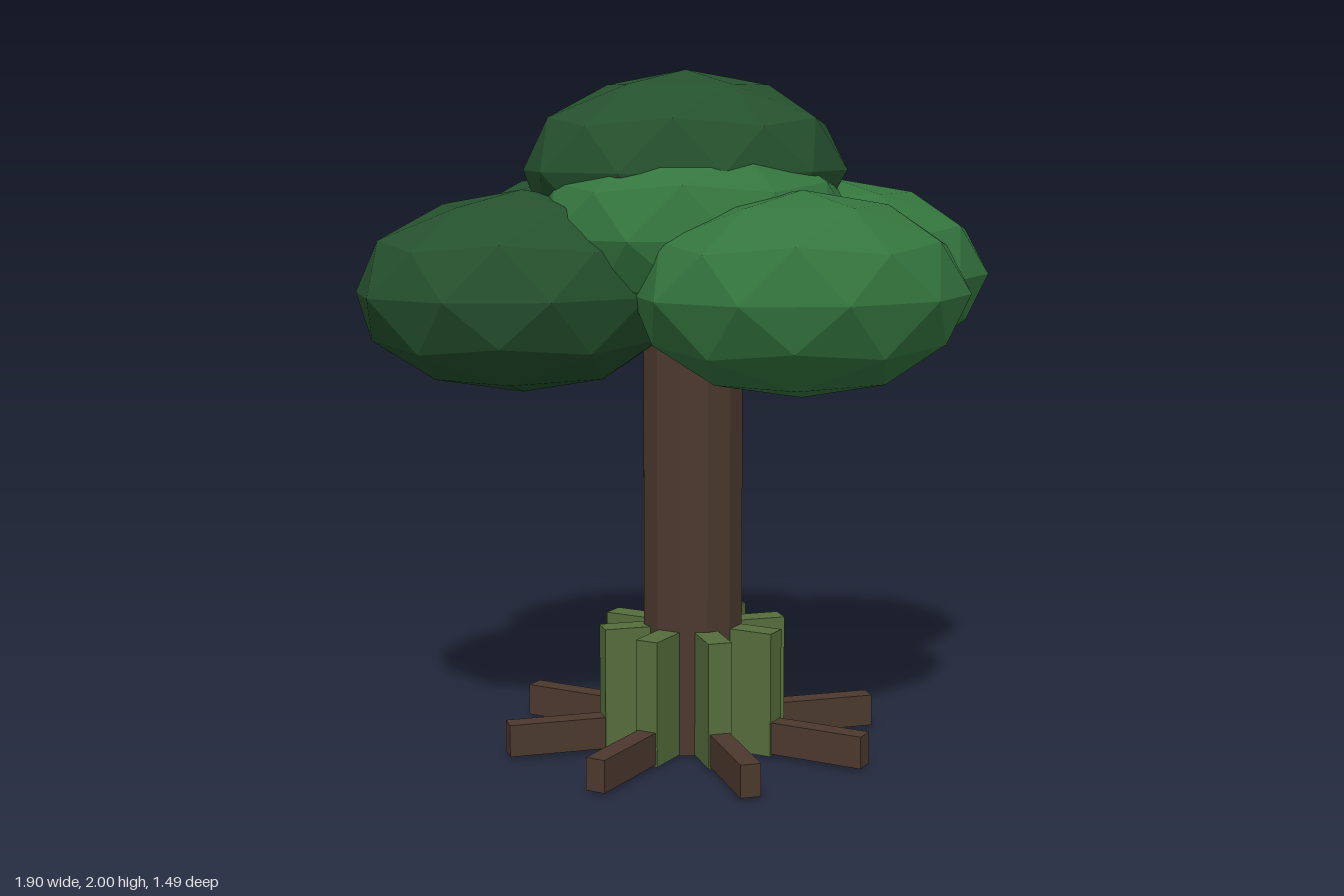
import * as THREE from 'three';

export function createModel() {
  const tree = new THREE.Group();
  tree.name = 'tree';

  const material = (color) => new THREE.MeshStandardMaterial({ color, flatShading: true });
  const bark = material(0x4c392e);
  const moss = material(0x566d3c);
  const lightLeaf = material(0x34753e);
  const darkLeaf = material(0x25512e);

  const add = (parent, name, geometry, mat) => {
    const mesh = new THREE.Mesh(geometry, mat);
    mesh.name = name;
    parent.add(mesh);
    return mesh;
  };

  // Trunk with its base, slightly off centre
  const base = new THREE.Group();
  base.name = 'trunkAndRoots';
  base.position.set(0.015, 0, 0.018);
  tree.add(base);
  const trunkGeometry = new THREE.CylinderGeometry(0.15, 0.15, 1.45, 12);
  trunkGeometry.rotateY(Math.PI / 2);
  add(base, 'trunk', trunkGeometry, bark).position.y = 0.725;

  // Eight roots, each with an upright mossy fin above it
  const rootGeometry = new THREE.BoxGeometry(0.06, 0.095, 0.5).translate(0, 0.0575, 0.315);
  const finGeometry = new THREE.BoxGeometry(0.07, 0.37, 0.16).translate(0, 0.188, 0.198);
  for (let i = 0; i < 8; i++) {
    const angle = (i * Math.PI) / 4;
    add(base, 'root', rootGeometry, bark).rotation.y = angle;
    add(base, 'mossFin', finGeometry, moss).rotation.y = angle;
  }

  // Faceted leaf clumps: one flattened ball standing on a vertex
  const clumpGeometry = new THREE.IcosahedronGeometry(1, 1);
  clumpGeometry.rotateZ(-Math.atan(2 / (1 + Math.sqrt(5))));
  clumpGeometry.scale(0.485, 0.29, 0.38);
  const clumps = [
    ['topLeaves', darkLeaf, 0.015, 1.71, -0.055],
    ['middleLeaves', lightLeaf, 0.01, 1.53, 0.06],
    ['frontLeaves', lightLeaf, 0.23, 1.375, 0.365],
    ['leftLeaves', lightLeaf, 0.49, 1.39, -0.095],
    ['rightLeaves', darkLeaf, -0.485, 1.37, -0.01],
    ['backLeaves', darkLeaf, -0.18, 1.42, -0.367],
  ];
  for (const [name, mat, x, y, z] of clumps) {
    add(tree, name, clumpGeometry, mat).position.set(x, y, z);
  }

  return tree;
}
